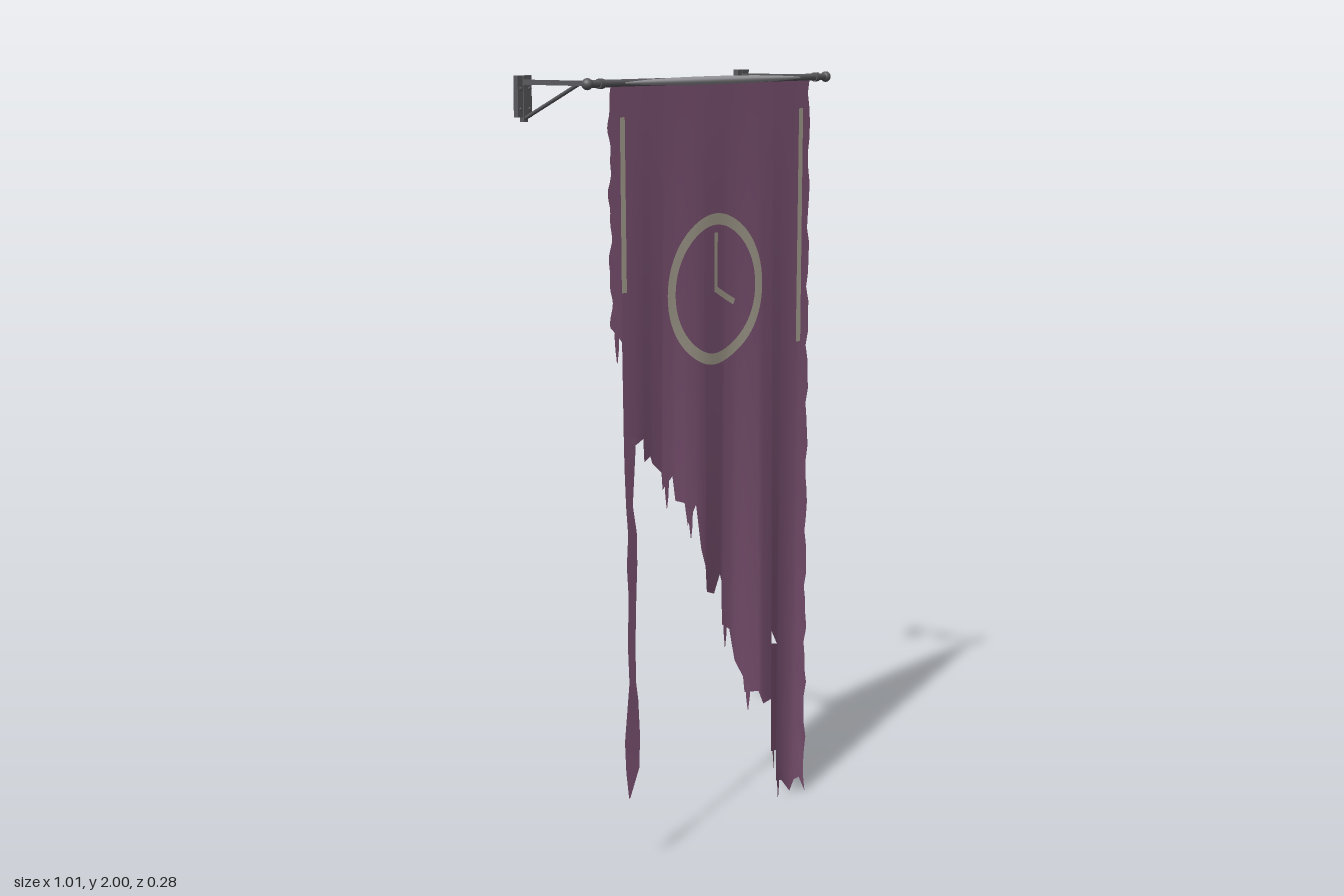
import * as THREE from 'three';
import { mergeGeometries, mergeVertices } from 'three/addons/utils/BufferGeometryUtils.js';

const ROD_Y = 1.98, ROD_Z = 0.112;

// Folds deepen towards the bottom of the cloth
function clothZ(x, y) {
  const t = (2 - y) / 2;
  return 0.114 + 0.005 * t + t * 0.017 * Math.cos((2 * Math.PI * (x - 0.2)) / 0.275);
}

// Frayed side edges wander a little in x
function fray(x, y) {
  const w = THREE.MathUtils.smoothstep(Math.abs(x), 0.385, 0.41);
  return x + w * (0.005 * Math.sin(y * 37 + x * 5) + 0.003 * Math.sin(y * 83));
}

// Sheet of cloth from columns [x, top, bottom]
function sheet(cols, rows) {
  const pos = [], index = [];
  cols.forEach(([x, top, bottom], i) => {
    for (let j = 0; j <= rows; j++) {
      const y = top + ((bottom - top) * j) / rows;
      pos.push(fray(x, y), y, clothZ(x, y));
      if (i < cols.length - 1 && j < rows) {
        const a = i * (rows + 1) + j, b = a + rows + 1;
        index.push(a, a + 1, b + 1, a, b + 1, b);
      }
    }
  });
  return build(pos, index);
}

// Narrow ribbon from sections [y, left, right]
function ribbon(sections) {
  const pos = [], index = [];
  sections.forEach(([y, l, r], i) => {
    pos.push(l, y, clothZ(l, y), r, y, clothZ(r, y));
    const a = i * 2;
    if (i < sections.length - 1) index.push(a, a + 2, a + 3, a, a + 3, a + 1);
  });
  return build(pos, index);
}

function build(pos, index) {
  const g = new THREE.BufferGeometry();
  g.setAttribute('position', new THREE.Float32BufferAttribute(pos, 3));
  g.setIndex(index);
  return g;
}

// Lay a flat geometry just in front of the cloth
function drape(g) {
  const p = g.attributes.position;
  for (let i = 0; i < p.count; i++) p.setZ(i, clothZ(p.getX(i), p.getY(i)) + 0.004);
  g.computeVertexNormals();
  return g;
}

export function createModel() {
  const group = new THREE.Group();
  const cloth = new THREE.MeshStandardMaterial({ color: 0x85597b, side: THREE.DoubleSide });
  cloth.name = 'faded purple cloth';
  const paint = new THREE.MeshStandardMaterial({ color: 0xb1aa9a, side: THREE.DoubleSide });
  paint.name = 'pale paint';
  const metal = new THREE.MeshStandardMaterial({ color: 0x5b5b5f });
  metal.name = 'dark metal';
  const pale = new THREE.MeshStandardMaterial({ color: 0x97979b });
  pale.name = 'worn light metal';

  const add = (name, geometry, material, parent = group) => {
    const m = new THREE.Mesh(geometry, material);
    m.name = name;
    parent.add(m);
    return m;
  };

  // Torn lower edge, left part, hole part and right part
  const T = 1.978;
  const tear = [
    [-0.414, 1.4], [-0.395, 1.38], [-0.377, 1.36], [-0.375, 1.1], [-0.328, 1.1],
    [-0.295, 1.11], [-0.29, 1.05], [-0.26, 1.06], [-0.25, 1.04], [-0.21, 1.01],
    [-0.205, 0.965], [-0.17, 0.995], [-0.16, 0.93], [-0.13, 0.92], [-0.12, 0.86],
    [-0.09, 0.91], [-0.07, 0.79], [-0.05, 0.74], [-0.044, 0.67], [0, 0.655],
    [0.035, 0.7], [0.043, 0.68], [0.048, 0.56], [0.08, 0.54], [0.1, 0.45],
    [0.128, 0.4], [0.133, 0.355], [0.18, 0.35], [0.2, 0.31], [0.245, 0.31], [0.249, 0.16],
  ].map(([x, b]) => [x, T, b]);
  const parts = [
    sheet(tear, 40),
    sheet([[0.249, T, 0.5], [0.29, T, 0.455]], 30),
    sheet([[0.249, 0.465, 0.16], [0.29, 0.455, 0.15]], 10),
    sheet([
      [0.29, T, 0.15], [0.293, T, 0.06], [0.33, T, 0.05], [0.365, T, 0.01],
      [0.38, T, 0.04], [0.397, T, 0.045], [0.412, T, 0],
    ], 50),
  ];
  // Long loose strip
  parts.push(ribbon([
    [1.12, -0.375, -0.328], [1.05, -0.374, -0.335], [0.95, -0.37, -0.345], [0.88, -0.364, -0.33],
    [0.8, -0.37, -0.329], [0.72, -0.365, -0.335], [0.6, -0.37, -0.341], [0.5, -0.366, -0.341],
    [0.45, -0.372, -0.332], [0.35, -0.383, -0.325], [0.27, -0.38, -0.331], [0.2, -0.372, -0.368],
  ]));
  // Hanging threads
  for (const [x, y] of [[-0.395, 1.385], [-0.11, 0.9], [0.062, 0.57], [0.143, 0.38], [0.268, 0.18], [0.31, 0.08], [-0.19, 0.99]])
    parts.push(ribbon([[y, x - 0.008, x + 0.008], [y - 0.04, x - 0.005, x + 0.007], [y - 0.075, x, x + 0.002]]));
  const clothGeo = mergeVertices(mergeGeometries(parts), 1e-4);
  clothGeo.computeVertexNormals();
  add('tornCloth', clothGeo, cloth);

  // Painted clock emblem
  const clock = new THREE.Group();
  clock.name = 'clockEmblem';
  group.add(clock);
  add('clockRing', drape(new THREE.RingGeometry(0.164, 0.193, 64, 2).translate(0, 1.455, 0)), paint, clock);
  const hand = (name, length, angle) => add(name, drape(
    new THREE.PlaneGeometry(0.016, length, 1, 6).translate(0, length / 2 - 0.006, 0)
      .rotateZ(angle).translate(0, 1.455, 0)), paint, clock);
  hand('longHand', 0.15, 0);
  hand('shortHand', 0.098, -2.02);

  // Painted border stripes
  for (const [name, x, bottom] of [['rightStripe', -0.371, 1.48], ['leftStripe', 0.37, 1.28]])
    add(name, drape(new THREE.PlaneGeometry(0.018, 1.9 - bottom, 2, 16).translate(x, (1.9 + bottom) / 2, 0)), paint);

  // Rod with a flattened, swelling middle
  add('rod', new THREE.CylinderGeometry(0.009, 0.009, 0.98, 12).rotateZ(Math.PI / 2).translate(0, ROD_Y, ROD_Z), metal);
  const profile = [];
  for (let i = 0; i <= 16; i++) {
    const s = i / 8 - 1;
    profile.push(new THREE.Vector2(0.006 + 0.014 * (1 - s * s), s * 0.41));
  }
  add('rodSleeve', new THREE.LatheGeometry(profile, 16).rotateZ(Math.PI / 2)
    .scale(1, 0.52, 1).translate(0, ROD_Y, ROD_Z), pale);

  // Wall brackets and end knobs, mirrored
  for (const [side, s] of [['left', 1], ['right', -1]]) {
    const bracket = new THREE.Group();
    bracket.name = side + 'Bracket';
    bracket.position.x = s * 0.443;
    group.add(bracket);
    add('arm', new THREE.BoxGeometry(0.014, 0.012, 0.262).translate(0, ROD_Y, -0.017), metal, bracket);
    add('wallPlate', new THREE.BoxGeometry(0.05, 0.1, 0.014).translate(0, 1.946, -0.134), metal, bracket);
    add('backBar', new THREE.BoxGeometry(0.014, 0.11, 0.014).translate(0, 1.94, -0.131), metal, bracket);
    const brace = new THREE.LineCurve3(new THREE.Vector3(0, 1.978, 0.045), new THREE.Vector3(0, 1.892, -0.13));
    add('brace', new THREE.TubeGeometry(brace, 1, 0.005, 8), metal, bracket);
    add('rodRing', new THREE.CylinderGeometry(0.012, 0.012, 0.016, 12).rotateZ(Math.PI / 2)
      .translate(0, ROD_Y, ROD_Z), metal, bracket);
    for (const y of [1.916, 1.965])
      for (const x of [-0.016, 0.016])
        add('bolt', new THREE.CylinderGeometry(0.004, 0.004, 0.006, 8).rotateX(Math.PI / 2)
          .translate(x, y, -0.125), metal, bracket);
    add(side + 'Knob', new THREE.SphereGeometry(0.014, 16, 12).translate(s * 0.49, ROD_Y, ROD_Z), metal);
  }
  return group;
}
